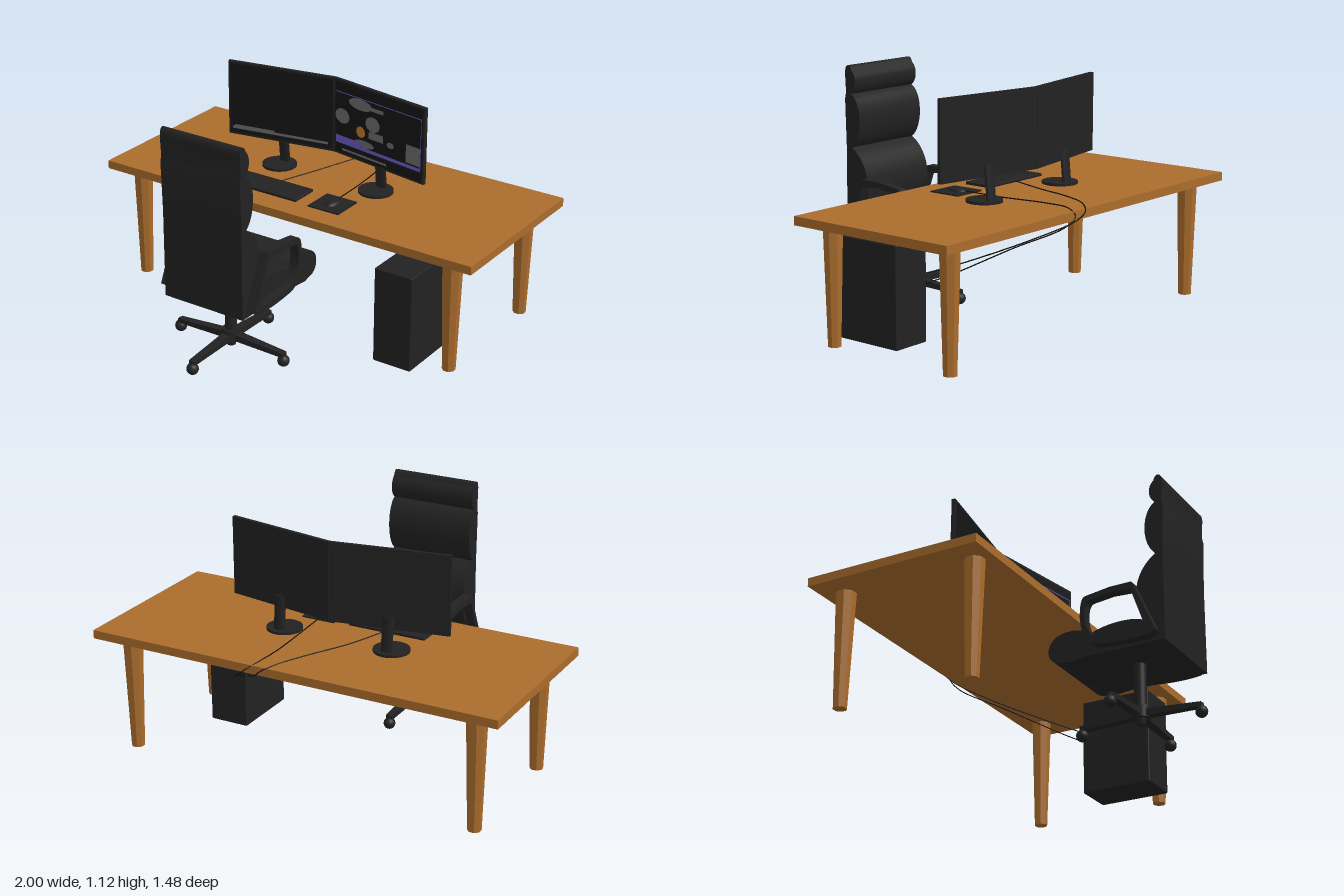
import * as THREE from 'three';
import { toCreasedNormals } from 'three/addons/utils/BufferGeometryUtils.js';
import { RoundedBoxGeometry } from 'three/addons/geometries/RoundedBoxGeometry.js';

const mat = (name, color) => {
  const m = new THREE.MeshStandardMaterial({ color });
  m.name = name;
  return m;
};

export function createModel() {
  const wood = mat('wood', 0xaa6c2c);
  const black = mat('black', 0x222222);
  const cableBlack = mat('cableBlack', 0x101010);
  const screenBlack = mat('screenBlack', 0x151515);
  const grey = mat('grey', 0x6c6c6c);
  const purple = mat('purple', 0x6a5ac8);
  const orange = mat('orange', 0xc07a2a);

  const model = new THREE.Group();
  model.name = 'deskSetup';

  const add = (name, geometry, material, x = 0, y = 0, z = 0, parent = model) => {
    const m = new THREE.Mesh(geometry, material);
    m.name = name;
    m.position.set(x, y, z);
    parent.add(m);
    return m;
  };
  const group = (name, x = 0, y = 0, z = 0, parent = model) => {
    const g = new THREE.Group();
    g.name = name;
    g.position.set(x, y, z);
    parent.add(g);
    return g;
  };
  // Side profile drawn as (-z, y), extruded along x
  const extrudeX = (shape, width) => {
    const g = new THREE.ExtrudeGeometry(shape, { depth: width, bevelEnabled: false, curveSegments: 12 });
    g.translate(0, 0, -width / 2).rotateY(Math.PI / 2);
    return toCreasedNormals(g, 0.6);
  };

  // Desk
  const desk = group('desk');
  add('deskTop', new THREE.BoxGeometry(2, 0.04, 0.855), wood, 0, 0.585, -0.2875, desk);
  const legGeo = new THREE.CylinderGeometry(0.047, 0.031, 0.545, 8).rotateY(Math.PI / 8).toNonIndexed();
  legGeo.computeVertexNormals();
  for (const x of [-0.86, 0.86]) {
    for (const z of [0.048, -0.61]) add('deskLeg', legGeo, wood, x, 0.2925, z, desk);
  }

  // Computer case
  add('computerCase', new RoundedBoxGeometry(0.195, 0.465, 0.35, 2, 0.006), black, 0.6275, 0.2425, -0.015);

  // Chair backrest with three cushions
  const chair = group('chair', -0.0525, 0, 0);
  const back = new THREE.Shape();
  back.moveTo(-0.64, 0.31);
  back.lineTo(-0.5, 0.31);
  back.lineTo(-0.54, 0.43);
  back.bezierCurveTo(-0.485, 0.5, -0.485, 0.66, -0.605, 0.73);
  back.bezierCurveTo(-0.535, 0.78, -0.535, 0.95, -0.607, 0.985);
  back.bezierCurveTo(-0.57, 1.01, -0.57, 1.07, -0.602, 1.095);
  back.bezierCurveTo(-0.61, 1.13, -0.643, 1.13, -0.643, 1.08);
  back.lineTo(-0.638, 0.99);
  back.lineTo(-0.645, 0.96);
  back.lineTo(-0.638, 0.73);
  back.closePath();
  add('backrest', extrudeX(back, 0.425), black, 0, 0, 0, chair);

  // Chair seat with rounded front roll
  const seat = new THREE.Shape();
  seat.moveTo(-0.6, 0.31);
  seat.lineTo(-0.54, 0.42);
  seat.bezierCurveTo(-0.5, 0.448, -0.36, 0.45, -0.28, 0.415);
  seat.bezierCurveTo(-0.25, 0.445, -0.17, 0.46, -0.12, 0.44);
  seat.bezierCurveTo(-0.06, 0.42, -0.05, 0.34, -0.1, 0.315);
  seat.lineTo(-0.16, 0.3);
  seat.lineTo(-0.27, 0.31);
  seat.closePath();
  add('seat', extrudeX(seat, 0.424), black, 0, 0, 0, chair);

  // Armrest loops
  const arm = new THREE.Shape();
  arm.moveTo(-0.615, 0.345);
  arm.lineTo(-0.505, 0.595);
  arm.lineTo(-0.4, 0.595);
  arm.lineTo(-0.275, 0.578);
  arm.quadraticCurveTo(-0.25, 0.57, -0.25, 0.48);
  arm.quadraticCurveTo(-0.26, 0.35, -0.33, 0.335);
  arm.quadraticCurveTo(-0.48, 0.315, -0.59, 0.328);
  arm.closePath();
  const hole = new THREE.Path();
  hole.moveTo(-0.57, 0.36);
  hole.quadraticCurveTo(-0.45, 0.345, -0.35, 0.362);
  hole.quadraticCurveTo(-0.28, 0.38, -0.274, 0.48);
  hole.quadraticCurveTo(-0.272, 0.55, -0.3, 0.555);
  hole.lineTo(-0.4, 0.566);
  hole.lineTo(-0.5, 0.56);
  hole.closePath();
  arm.holes.push(hole);
  const armGeo = extrudeX(arm, 0.046);
  for (const s of [-1, 1]) add('armrest', armGeo, black, s * 0.234, 0, 0, chair);

  // Chair column and four-star base
  const base = group('chairBase', -0.068, 0, 0.42);
  add('column', new THREE.CylinderGeometry(0.028, 0.028, 0.23, 24), black, 0, 0.205, 0, base);
  add('hub', new THREE.CylinderGeometry(0.042, 0.042, 0.055, 24), black, 0, 0.08, 0, base);
  add('hubFoot', new THREE.CylinderGeometry(0.03, 0.02, 0.04, 24), black, 0, 0.045, 0, base);
  const spokeGeo = new THREE.BoxGeometry(0.29, 0.03, 0.04);
  const sp = spokeGeo.attributes.position;
  for (let i = 0; i < sp.count; i++) {
    // taper and drop toward the outer end
    const outer = sp.getX(i) > 0;
    sp.setXYZ(i, sp.getX(i) + 0.15, sp.getY(i) * (outer ? 0.7 : 1.1) + (outer ? 0.06 : 0.075), sp.getZ(i) * (outer ? 0.8 : 1.1));
  }
  spokeGeo.computeVertexNormals();
  const casterGeo = new THREE.SphereGeometry(0.028, 20, 14);
  for (let i = 0; i < 4; i++) {
    const spoke = group('baseSpoke', 0, 0, 0, base);
    spoke.rotation.y = i * Math.PI / 2;
    add('spokeArm', spokeGeo, black, 0, 0, 0, spoke);
    add('caster', casterGeo, black, 0.29, 0.03, 0, spoke);
    add('casterStem', new THREE.CylinderGeometry(0.014, 0.014, 0.03, 12), black, 0.285, 0.055, 0, spoke);
  }

  // Monitors: panel, screen and stand
  const W = 0.553, H = 0.37;
  const makeMonitor = (name, x, angle) => {
    const m = group(name, x, 0.905, -0.307);
    m.rotation.y = angle;
    add('monitorPanel', new THREE.BoxGeometry(W, H, 0.018), black, 0, 0, 0, m);
    add('screen', new THREE.PlaneGeometry(W - 0.02, H - 0.02), screenBlack, 0, 0, 0.0105, m);
    add('standDisc', new THREE.CylinderGeometry(0.083, 0.083, 0.012, 40), black, x, 0.611, -0.285);
    const post = add('standPost', new THREE.CylinderGeometry(0.028, 0.028, 0.17, 24), black, x + 0.003, 0.69, -0.32);
    post.scale.z = 0.5;
    post.rotation.x = 0.1;
    return m;
  };
  const leftScreen = makeMonitor('monitorRightSide', -0.292, 0.172);
  const rightScreen = makeMonitor('monitorLeftSide', 0.252, -0.172);

  // Painted screen patches, placed by fractions from the top left corner
  const bar = (p, m, u, v, w, h, z = 0.012) =>
    add('screenBar', new THREE.PlaneGeometry(w * W, h * H), m, (u - 0.5) * W, (0.5 - v) * H, z, p);
  const blob = (p, m, u, v, w, h, z = 0.012) => {
    const b = add('screenBlob', new THREE.CircleGeometry(0.5, 16), m, (u - 0.5) * W, (0.5 - v) * H, z, p);
    b.scale.set(w * W, h * H, 1);
  };
  bar(leftScreen, grey, 0.49, 0.9, 0.9, 0.035);
  bar(leftScreen, grey, 0.25, 0.875, 0.38, 0.03, 0.0125);
  for (const [u, v, w, h] of [[0.3, 0.24, 0.26, 0.15], [0.44, 0.45, 0.16, 0.2], [0.1, 0.47, 0.16, 0.2],
    [0.35, 0.75, 0.22, 0.1], [0.64, 0.64, 0.08, 0.08]]) blob(rightScreen, grey, u, v, w, h);
  bar(rightScreen, grey, 0.45, 0.25, 0.22, 0.05);
  bar(rightScreen, grey, 0.48, 0.6, 0.16, 0.1);
  bar(rightScreen, grey, 0.89, 0.66, 0.16, 0.24);
  bar(rightScreen, grey, 0.35, 0.92, 0.5, 0.03);
  blob(rightScreen, orange, 0.31, 0.6, 0.1, 0.15, 0.013);
  bar(rightScreen, purple, 0.5, 0.82, 0.94, 0.045, 0.0135);
  bar(rightScreen, purple, 0.17, 0.77, 0.28, 0.06, 0.0135);
  bar(rightScreen, purple, 0.5, 0.155, 0.94, 0.012, 0.0135);
  bar(rightScreen, purple, 0.97, 0.48, 0.006, 0.65, 0.0135);

  // Keyboard, mouse pad and mouse
  add('keyboard', new RoundedBoxGeometry(0.385, 0.014, 0.145, 2, 0.004), black, -0.1775, 0.612, -0.0475);
  add('mousePad', new THREE.BoxGeometry(0.165, 0.006, 0.16), black, 0.1675, 0.608, -0.05);
  add('mouse', new THREE.SphereGeometry(1, 24, 12, 0, Math.PI * 2, 0, Math.PI / 2), black, 0.167, 0.61, -0.055)
    .scale.set(0.031, 0.018, 0.05);

  // Cables running over the back edge down to the computer
  const cable = (name, pts) => add(name, new THREE.TubeGeometry(
    new THREE.CatmullRomCurve3(pts.map((p) => new THREE.Vector3(...p))), 80, 0.0028, 6), cableBlack);
  cable('keyboardCable', [[-0.17, 0.612, -0.12], [-0.1, 0.612, -0.32], [0, 0.622, -0.56], [0.06, 0.618, -0.68],
    [0.11, 0.595, -0.73], [0.15, 0.56, -0.71], [0.27, 0.48, -0.57], [0.44, 0.36, -0.3], [0.53, 0.32, -0.19]]);
  cable('mouseCable', [[0.165, 0.615, -0.1], [0.155, 0.612, -0.3], [0.14, 0.615, -0.54], [0.15, 0.612, -0.67],
    [0.19, 0.585, -0.738], [0.24, 0.545, -0.715], [0.35, 0.45, -0.53], [0.48, 0.31, -0.27], [0.54, 0.275, -0.19]]);

  return model;
}
